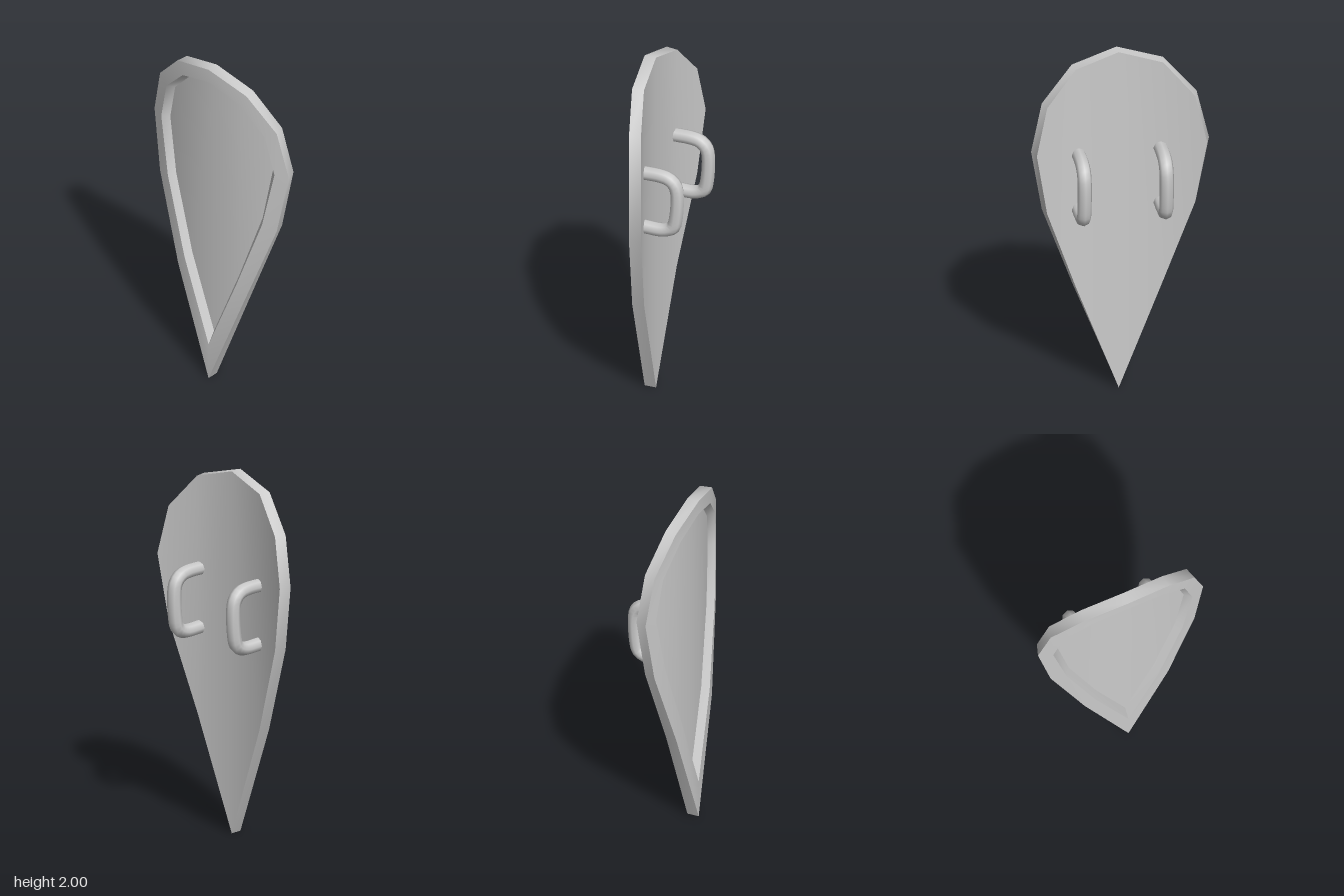
import * as THREE from 'three';
import { toCreasedNormals } from 'three/addons/utils/BufferGeometryUtils.js';

const material = new THREE.MeshStandardMaterial({ color: 0xcccccc });

// Teardrop ring: the half outline runs from top to tip and is mirrored,
// and the points are bent back on a shallow curve.
function ring(half, z0, bend) {
  const right = half.map(([x, y]) => [x, y, z0 - bend * x * x]);
  const left = right.slice(1, -1).reverse().map(([x, y, z]) => [-x, y, z]);
  return [...right, ...left];
}

function mesh(name, points, triangles) {
  const geometry = new THREE.BufferGeometry();
  geometry.setAttribute('position', new THREE.Float32BufferAttribute(points.flat(), 3));
  geometry.setIndex(triangles.flat());
  const part = new THREE.Mesh(toCreasedNormals(geometry, 0.7), material);
  part.name = name;
  return part;
}

// Strip of quads between two rings
function band(name, a, b) {
  const n = a.length;
  const triangles = [];
  for (let i = 0; i < n; i++) {
    const j = (i + 1) % n;
    triangles.push([i, n + i, n + j], [i, n + j, j]);
  }
  return mesh(name, [...a, ...b], triangles);
}

// Curved sheet filling a ring with upright strips
function sheet(name, points, facingBack) {
  const n = points.length;
  const triangles = [];
  for (let i = 0; i < n / 4; i++) {
    const low = n / 2 - i;
    const mirror = (k) => (n - k) % n;
    triangles.push([i, low, low - 1], [mirror(i), mirror(low - 1), mirror(low)]);
    if (i + 1 < low - 1) {
      triangles.push([i, low - 1, i + 1], [mirror(i), mirror(i + 1), mirror(low - 1)]);
    }
  }
  return mesh(name, points, facingBack ? triangles.map((t) => t.reverse()) : triangles);
}

export function createModel() {
  const model = new THREE.Group();
  model.name = 'shield';

  const outline = [[0, 2], [0.245, 1.93], [0.415, 1.74], [0.477, 1.47], [0.415, 1.11], [0.24, 0.62], [0, 0]];
  const rimInside = [[0, 1.92], [0.2, 1.86], [0.35, 1.7], [0.402, 1.47], [0.335, 1.13], [0.185, 0.69], [0, 0.22]];
  const panelOutline = [[0, 1.89], [0.185, 1.84], [0.317, 1.69], [0.365, 1.47], [0.307, 1.14], [0.165, 0.71], [0, 0.285]];

  const front = ring(outline, 0.153, 0.452);
  const back = ring(outline.map(([x, y]) => [x * 0.957, y]), 0.088, 0.47);
  const inner = ring(rimInside, 0.153, 0.452);
  const recess = ring(panelOutline, 0.11, 0.452);

  // Plate with a raised rim around a recessed panel
  model.add(
    band('outerEdge', back, front),
    band('rim', front, inner),
    band('rimBevel', inner, recess),
    sheet('frontPanel', recess, false),
    sheet('backPanel', back, true),
  );

  // Two upright grips on the back, their ends sunk into the plate
  const gripPath = [
    [1.422, 0.075], [1.422, -0.03], [1.41, -0.078], [1.37, -0.113],
    [1.18, -0.113], [1.125, -0.096], [1.1, -0.05], [1.098, 0.075],
  ].map(([y, z]) => new THREE.Vector3(0, y, z));
  const gripGeometry = new THREE.TubeGeometry(new THREE.CatmullRomCurve3(gripPath), 28, 0.038, 8);
  for (const [name, x] of [['leftGrip', 0.22], ['rightGrip', -0.22]]) {
    const grip = new THREE.Mesh(gripGeometry, material);
    grip.name = name;
    grip.position.x = x;
    model.add(grip);
  }
  return model;
}
